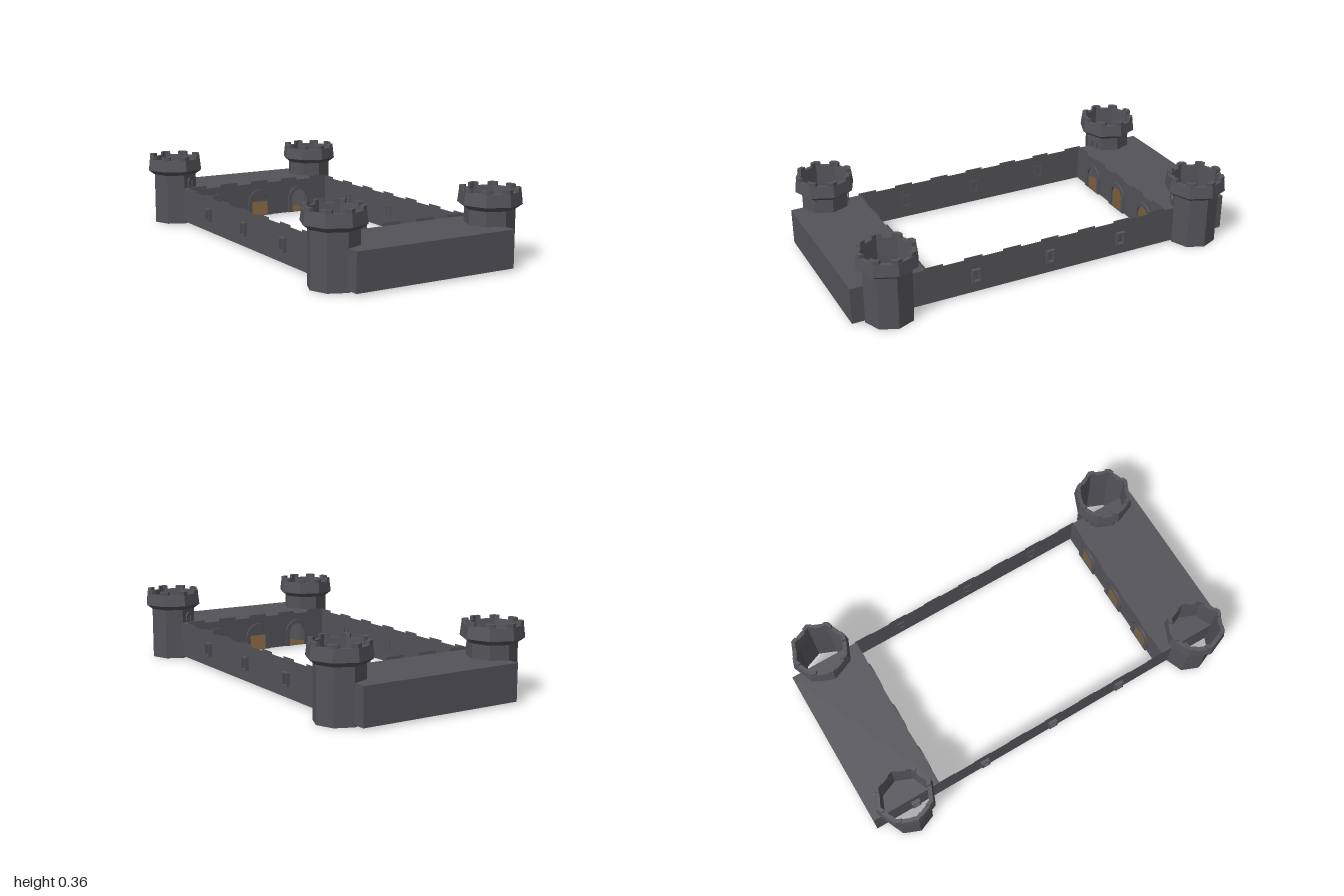
import * as THREE from 'three';

const stone = new THREE.MeshStandardMaterial({ name: 'dark stone', color: 0x545358, flatShading: true, side: THREE.DoubleSide });
const wood = new THREE.MeshStandardMaterial({ name: 'brown floor', color: 0x6b5233, flatShading: true, side: THREE.DoubleSide });

const HALF_X = 0.42, BASE = 0.01, TOP = 0.19, INNER = 0.64;

function add(parent, name, geometry, material = stone, x = 0, y = 0, z = 0) {
  const mesh = new THREE.Mesh(geometry, material);
  mesh.name = name;
  mesh.position.set(x, y, z);
  parent.add(mesh);
  return mesh;
}

// Round-headed outline standing on y = base
function arch(Type, x, base, springY, r) {
  const s = new Type();
  s.moveTo(x - r, base);
  s.lineTo(x + r, base);
  s.lineTo(x + r, springY);
  s.absarc(x, springY, r, 0, Math.PI, false);
  s.lineTo(x - r, base);
  return s;
}

function archFrame(base, springY, rOut, rIn, depth, sill = 0) {
  const s = arch(THREE.Shape, 0, base, springY, rOut);
  s.holes.push(arch(THREE.Path, 0, base + sill, springY, rIn));
  return new THREE.ExtrudeGeometry(s, { depth, bevelEnabled: false, curveSegments: 8 });
}

// Wall outline with a row of merlons along its top
function crenellated(half, spacing, count, width, rise) {
  const s = new THREE.Shape();
  s.moveTo(-half, BASE);
  s.lineTo(half, BASE);
  s.lineTo(half, TOP);
  for (let i = count - 1; i >= 0; i--) {
    const c = (i - (count - 1) / 2) * spacing;
    s.lineTo(c + width / 2, TOP);
    s.lineTo(c + width / 2, TOP + rise);
    s.lineTo(c - width / 2, TOP + rise);
    s.lineTo(c - width / 2, TOP);
  }
  s.lineTo(-half, TOP);
  return s;
}

// Corner-wrapping merlon at the +z vertex of the octagonal crown
function crownMerlon(rOut, rIn, reach) {
  const a = Math.PI / 8, dx = reach * Math.cos(a), dy = reach * Math.sin(a);
  const s = new THREE.Shape([
    [0, -rOut], [dx, -rOut + dy], [dx, -rIn + dy],
    [0, -rIn], [-dx, -rIn + dy], [-dx, -rOut + dy],
  ].map(p => new THREE.Vector2(...p)));
  return new THREE.ExtrudeGeometry(s, { depth: 0.018, bevelEnabled: false }).rotateX(-Math.PI / 2);
}

function tower(side) {
  const g = new THREE.Group();
  g.name = 'tower';
  g.position.set(side * HALF_X, 0, 0.82);
  add(g, 'towerShaft', new THREE.CylinderGeometry(0.118, 0.118, 0.26, 8, 1, true), stone, 0, 0.13, 0);
  const profile = [[0.118, 0.26], [0.15, 0.283], [0.143, 0.342], [0.122, 0.342], [0.118, 0.26]];
  add(g, 'towerCrown', new THREE.LatheGeometry(profile.map(p => new THREE.Vector2(...p)), 8));
  const merlon = crownMerlon(0.142, 0.122, 0.025);
  for (let i = 0; i < 8; i++) add(g, 'crownMerlon', merlon, stone, 0, 0.342, 0).rotation.y = i * Math.PI / 4;

  // Small window on the face that looks into the courtyard
  const a = Math.atan2(-side * Math.sin(Math.PI / 8), -Math.cos(Math.PI / 8));
  const win = add(g, 'towerWindow', archFrame(0.195, 0.222, 0.02, 0.012, 0.007, 0.007));
  win.rotation.y = a;
  win.position.set(Math.sin(a) * 0.109, 0, Math.cos(a) * 0.109);
  return g;
}

// Gatehouse: hollow block with an arcade facing the courtyard
function gatehouse() {
  const g = new THREE.Group();
  g.name = 'gatehouse';
  const depth = 1 - INNER, mid = (1 + INNER) / 2;
  const slab = new THREE.PlaneGeometry(HALF_X * 2, depth).rotateX(-Math.PI / 2);
  add(g, 'roof', slab, stone, 0, TOP, mid);
  add(g, 'floor', slab, wood, 0, BASE, mid);
  add(g, 'outerWall', new THREE.PlaneGeometry(HALF_X * 2, TOP - BASE), stone, 0, (TOP + BASE) / 2, 1);

  const facade = crenellated(HALF_X, 0.185, 5, 0.1, 0.014);
  const frame = archFrame(BASE, 0.085, 0.07, 0.048, 0.009);
  for (const x of [-0.25, 0, 0.25]) {
    // openings start just above the base so the outline stays closed
    facade.holes.push(arch(THREE.Path, x, BASE + 0.001, 0.085, 0.048));
    add(g, 'archFrame', frame, stone, x, 0, INNER - 0.009);
  }
  add(g, 'arcadeWall', new THREE.ShapeGeometry(facade, 8).rotateY(Math.PI), stone, 0, 0, INNER);
  g.add(tower(1), tower(-1));
  return g;
}

// Long wall on the model's left (+x), with framed windows
function sideWall() {
  const g = new THREE.Group();
  g.name = 'sideWall';
  const outline = crenellated(1, 0.2, 7, 0.095, 0.01);
  add(g, 'wall', new THREE.ShapeGeometry(outline).rotateY(Math.PI / 2), stone, HALF_X);

  const ring = new THREE.Shape();
  ring.moveTo(-0.022, -0.033).lineTo(0.022, -0.033).lineTo(0.022, 0.033).lineTo(-0.022, 0.033);
  const hole = new THREE.Path();
  hole.moveTo(-0.015, -0.026).lineTo(0.015, -0.026).lineTo(0.015, 0.026).lineTo(-0.015, 0.026);
  ring.holes.push(hole);
  const frame = new THREE.ExtrudeGeometry(ring, { depth: 0.024, bevelEnabled: false }).rotateY(Math.PI / 2);
  for (let i = -2; i <= 2; i++) add(g, 'windowFrame', frame, stone, HALF_X - 0.005, 0.1, i * 0.39);
  return g;
}

export function createModel() {
  const model = new THREE.Group();
  model.name = 'castleCourtyard';
  for (const turn of [0, Math.PI]) {
    const half = new THREE.Group();
    half.name = turn ? 'backHalf' : 'frontHalf';
    half.add(gatehouse(), sideWall());
    half.rotation.y = turn;
    model.add(half);
  }
  return model;
}
